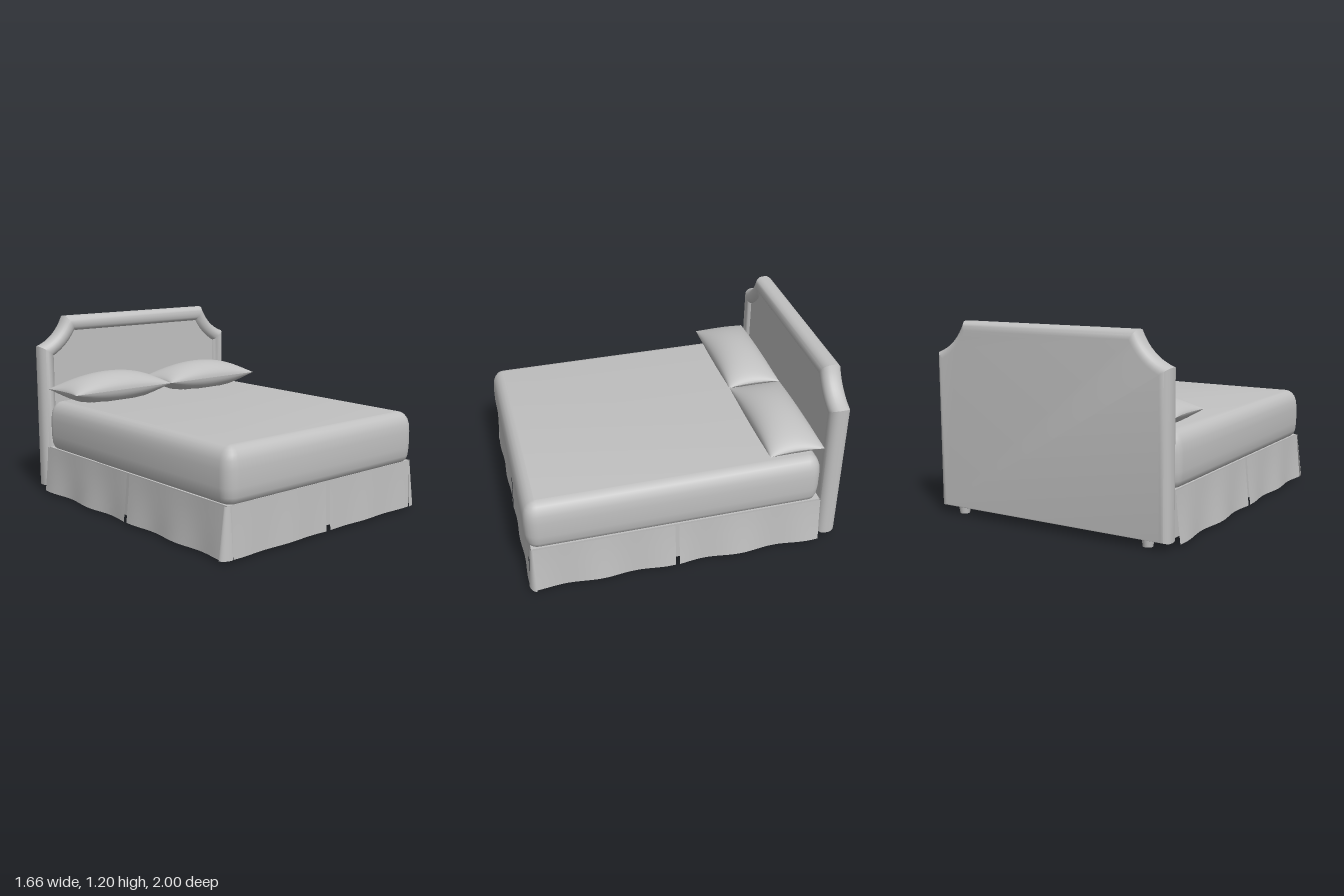
import * as THREE from 'three';
import { toCreasedNormals } from 'three/addons/utils/BufferGeometryUtils.js';

// Offset a counter-clockwise outline inward, keeping mitred corners
function inset(points, d) {
  const n = points.length;
  return points.map((p, i) => {
    const a = p.clone().sub(points[(i + n - 1) % n]).normalize();
    const b = points[(i + 1) % n].clone().sub(p).normalize();
    const na = new THREE.Vector2(-a.y, a.x), nb = new THREE.Vector2(-b.y, b.x);
    const m = na.clone().add(nb);
    return p.clone().addScaledVector(m, d / (1 + na.dot(nb)));
  });
}

// Closed solid made from inset copies of an outline, section = [inset, level]
function loft(outline, section) {
  const n = outline.length, pos = [], idx = [];
  section.forEach(([d, z]) => inset(outline, d).forEach(p => pos.push(p.x, p.y, z)));
  for (let k = 0; k < section.length - 1; k++) {
    for (let i = 0; i < n; i++) {
      const j = (i + 1) % n, a = k * n + i, b = k * n + j;
      idx.push(a, b, b + n, a, b + n, a + n);
    }
  }
  const last = (section.length - 1) * n;
  const capFaces = s => THREE.ShapeUtils.triangulateShape(inset(outline, section[s][0]), []);
  capFaces(0).forEach(([a, b, c]) => idx.push(c, b, a));
  capFaces(section.length - 1).forEach(([a, b, c]) => idx.push(a + last, b + last, c + last));
  const g = new THREE.BufferGeometry();
  g.setAttribute('position', new THREE.Float32BufferAttribute(pos, 3));
  g.setIndex(idx);
  return toCreasedNormals(g, 0.6);
}

function roundedRect(w, h, r, steps = 6) {
  const pts = [];
  [[1, 1], [-1, 1], [-1, -1], [1, -1]].forEach(([sx, sy], q) => {
    for (let i = 0; i <= steps; i++) {
      const a = (q + i / steps) * Math.PI / 2;
      pts.push(new THREE.Vector2(sx * (w / 2 - r) + r * Math.cos(a), sy * (h / 2 - r) + r * Math.sin(a)));
    }
  });
  return pts;
}

// Headboard outline with scooped upper corners
function headboardOutline() {
  const scoop = new THREE.QuadraticBezierCurve(
    new THREE.Vector2(0.805, 1.0), new THREE.Vector2(0.66, 1.05), new THREE.Vector2(0.6, 1.195)).getPoints(8);
  const right = [new THREE.Vector2(0.805, 0.04), ...scoop];
  return [...right, ...right.map(p => new THREE.Vector2(-p.x, p.y)).reverse()];
}

// Plump half of a pillow: side = 1 top, -1 bottom
function pillowHalf(side) {
  const g = new THREE.PlaneGeometry(2, 2, 32, 20);
  const p = g.attributes.position;
  for (let i = 0; i < p.count; i++) {
    const u = Math.sin(p.getX(i) * Math.PI / 2), v = Math.sin(p.getY(i) * Math.PI / 2);
    const puff = Math.pow(Math.max(0, 1 - u * u), 0.6) * Math.sqrt(Math.max(0, 1 - v * v));
    const h = side > 0 ? 0.107 * puff : -Math.min(0.077, 0.115 * puff);
    p.setXYZ(i, 0.39 * u * (1 - 0.05 * (1 - v * v)), h, -0.175 * v * (1 - 0.03 * (1 - u * u)));
  }
  if (side < 0) g.setIndex(Array.from(g.index.array).reverse());
  g.computeVertexNormals();
  return g;
}

// Hanging cloth that flares and ripples toward its hem
function skirtPanel(length, flare, ripple, phase) {
  const g = new THREE.PlaneGeometry(length, 0.3, 32, 5);
  const p = g.attributes.position;
  for (let i = 0; i < p.count; i++) {
    const drop = Math.max(0, 0.5 - p.getY(i) / 0.3);
    const s = p.getX(i) / length;
    const wave = 0.5 + 0.5 * Math.cos(s * Math.PI * 4 + phase);
    p.setZ(i, Math.pow(drop, 1.2) * (flare + ripple * wave));
  }
  g.computeVertexNormals();
  return g;
}

export function createModel() {
  const model = new THREE.Group();
  const grey = new THREE.MeshStandardMaterial({ name: 'plainGrey', color: 0xc0c0c0, side: THREE.DoubleSide });
  const add = (name, geometry, x = 0, y = 0, z = 0) => {
    const mesh = new THREE.Mesh(geometry, grey);
    mesh.name = name;
    mesh.position.set(x, y, z);
    model.add(mesh);
    return mesh;
  };

  // Headboard with a padded rolled border and recessed panel
  const roll = [];
  const r = 0.055;
  for (let i = 0; i <= 6; i++) {
    const a = i / 6 * Math.PI / 2;
    roll.push([r - r * Math.sin(a), -1 + r - r * Math.cos(a)]);
  }
  for (let i = 0; i <= 6; i++) {
    const a = i / 6 * Math.PI / 2;
    roll.push([r - r * Math.cos(a), -0.87 - r + r * Math.sin(a)]);
  }
  roll.push([0.075, -0.875], [0.09, -0.885], [0.1, -0.9]);
  const board = loft(headboardOutline(), roll);
  const bp = board.attributes.position;
  for (let i = 0; i < bp.count; i++) { // tighter rounding along the lower edge
    if (bp.getY(i) < 0.2) bp.setY(i, 0.04 + (bp.getY(i) - 0.04) * 0.3);
  }
  add('headboard', board);

  // Mattress with soft edges
  const mattress = loft(roundedRect(1.585, 1.86, 0.08), [
    [0.06, 0.308], [0.035, 0.312], [0.017, 0.327], [0.006, 0.355], [0, 0.41], [0, 0.51],
    [0.005, 0.56], [0.016, 0.593], [0.034, 0.617], [0.055, 0.631], [0.078, 0.637]]);
  mattress.rotateX(-Math.PI / 2);
  add('mattress', mattress, 0, 0, 0.062);

  // Box base
  add('boxBase', new THREE.BoxGeometry(1.55, 0.275, 1.835), 0, 0.1775, 0.0475);

  // Skirt: front pair, side pairs split by a pleat, and flared corner folds
  for (const s of [-1, 1]) {
    const side = s > 0 ? 'left' : 'right';
    add(side + 'FrontSkirt', skirtPanel(0.74, 0.006, 0.008, s), s * 0.387, 0.165, 0.98);
    const rear = add(side + 'RearSkirt', skirtPanel(0.925, 0.012, 0.022, s * 0.9), s * 0.79, 0.165, -0.4075);
    const fore = add(side + 'ForeSkirt', skirtPanel(0.875, 0.012, 0.018, s * 0.5), s * 0.79, 0.165, 0.5175);
    rear.rotation.y = fore.rotation.y = s * Math.PI / 2;
    const fold = new THREE.CylinderGeometry(0.03, 0.068, 0.3, 10, 1, true, s > 0 ? 0 : -Math.PI / 2, Math.PI / 2);
    fold.scale(1, 1, 0.6);
    add(side + 'CornerFold', fold, s * 0.762, 0.165, 0.955);
  }

  // Pillows
  for (const s of [-1, 1]) {
    for (const half of [1, -1]) {
      add((s > 0 ? 'left' : 'right') + 'Pillow' + (half > 0 ? 'Top' : 'Bottom'),
        pillowHalf(half), s * 0.39, 0.717, -0.685);
    }
  }

  // Round feet under the base and the headboard
  for (const s of [-1, 1]) {
    for (const z of [0.89, -0.81]) {
      add('baseFoot', new THREE.CylinderGeometry(0.034, 0.03, 0.05, 16), s * 0.72, 0.032, z);
    }
    add('headboardFoot', new THREE.CylinderGeometry(0.036, 0.03, 0.045, 16), s * 0.655, 0.0225, -0.94);
  }
  return model;
}
